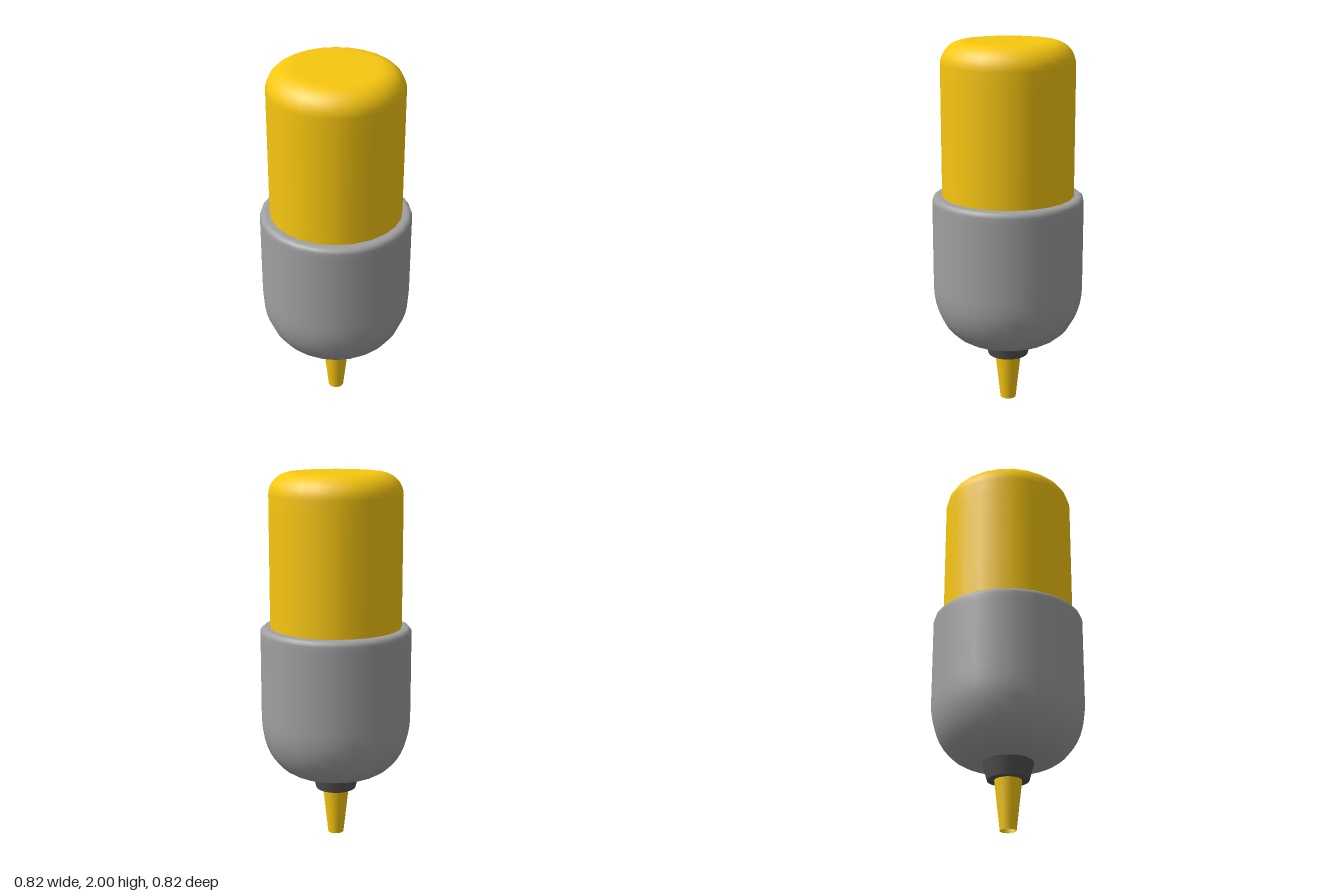
import * as THREE from 'three';

const SEGMENTS = 24;

// Quarter-ellipse points around (cx, cy), from angle a0 to a1 in degrees
function arc(cx, cy, rx, ry, a0, a1, steps) {
  return Array.from({ length: steps + 1 }, (_, i) => {
    const a = THREE.MathUtils.degToRad(a0 + ((a1 - a0) * i) / steps);
    return new THREE.Vector2(cx + rx * Math.cos(a), cy + ry * Math.sin(a));
  });
}

export function createModel() {
  const group = new THREE.Group();
  const yellow = new THREE.MeshStandardMaterial({ color: 0xf8c710, side: THREE.DoubleSide });
  const grey = new THREE.MeshStandardMaterial({ color: 0xa0a0a0 });
  const darkGrey = new THREE.MeshStandardMaterial({ color: 0x555555 });

  const add = (name, geometry, material, y = 0) => {
    const mesh = new THREE.Mesh(geometry, material);
    mesh.name = name;
    mesh.position.y = y;
    group.add(mesh);
  };
  const point = (x, y) => new THREE.Vector2(x, y);

  // Upper cylinder with a rounded top edge
  add('upperCap', new THREE.LatheGeometry([
    point(0.355, 1.1),
    point(0.355, 1.8),
    ...arc(0.23, 1.88, 0.125, 0.12, 0, 90, 8),
    point(0.2, 2),
    point(0, 2),
  ], SEGMENTS), yellow);

  // Main body: deeply rounded base, small rounded rim
  add('body', new THREE.LatheGeometry([
    point(0, 0.36),
    point(0.15, 0.36),
    ...arc(0.19, 0.67, 0.218, 0.31, -90, 0, 10),
    point(0.408, 0.72),
    point(0.408, 1.12),
    ...arc(0.378, 1.15, 0.03, 0.03, 0, 90, 4),
    point(0.34, 1.18),
    point(0, 1.18),
  ], SEGMENTS), grey);

  // Tapered collar under the body
  add('collar', new THREE.CylinderGeometry(0.14, 0.11, 0.11, SEGMENTS), darkGrey, 0.32);

  // Tapered hollow nozzle
  add('nozzle', new THREE.CylinderGeometry(0.074, 0.043, 0.28, SEGMENTS, 1, true), yellow, 0.14);

  return group;
}
